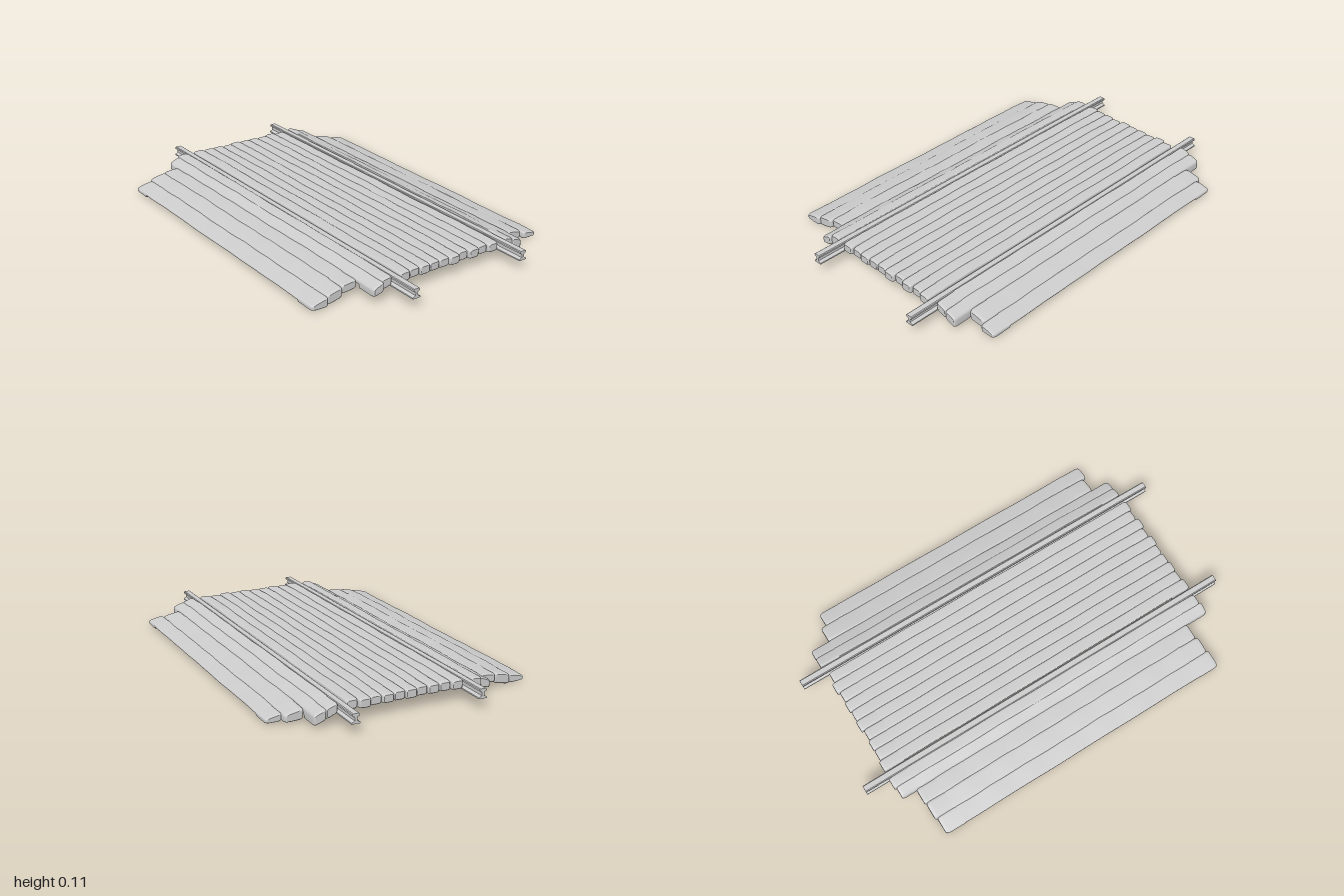
import * as THREE from 'three';

const material = new THREE.MeshStandardMaterial({ color: 0xcccccc });

// Seeded random numbers for the worn timber
let seed = 7;
const rand = () => {
  seed = (seed * 16807) % 2147483647;
  return seed / 2147483647;
};

// Worn plank: a rounded four-sided section lofted along x, with softened ends.
// The section runs from z0 to z1, with bottom and top heights given at each side.
// Between the two end blocks the underside is hollowed to half the thickness.
function plank(name, x0, x1, z0, z1, b0, t0, b1, t1) {
  const sides = 24, block = 0.1, inner = 36;
  const ends = [0, 0.002, 0.006, 0.012, 0.02, 0.06, block];
  const length = x1 - x0;
  const xs = ends.map((d) => x0 + d);
  for (let i = 0; i <= inner; i++) xs.push(x0 + block + 0.004 + (length - 2 * block - 0.008) * (i / inner));
  xs.push(...ends.map((d) => x1 - d).reverse());

  const pos = [], index = [];
  const phase = [rand() * 6, rand() * 6, rand() * 6];
  const soft = (c) => Math.sign(c) * Math.pow(Math.abs(c), 0.4);
  xs.forEach((x) => {
    const inset = Math.min(x - x0, x1 - x);
    const end = THREE.MathUtils.clamp(inset / 0.02, 0, 1);
    const k = 0.75 + 0.25 * Math.sqrt(1 - (1 - end) ** 2);
    const hollow = inset > block + 0.002 ? 0.5 : 0;
    const wave = 0.0012 * Math.sin(x * 9 + phase[0]) + 0.001 * Math.sin(x * 31 + phase[1]);
    const shift = 0.0008 * Math.sin(x * 14 + phase[2]);
    for (let j = 0; j < sides; j++) {
      const a = (j / sides) * Math.PI * 2;
      const p = 0.5 + 0.5 * k * soft(Math.cos(a));
      const q = 0.5 + 0.5 * k * soft(Math.sin(a));
      const top = t0 + (t1 - t0) * p + wave;
      const bottom = THREE.MathUtils.lerp(b0 + (b1 - b0) * p, top, hollow);
      pos.push(x, bottom + (top - bottom) * q, z0 + (z1 - z0) * p + shift);
    }
  });
  const last = xs.length - 1;
  for (let i = 0; i < last; i++) {
    for (let j = 0; j < sides; j++) {
      const a = i * sides + j, b = i * sides + ((j + 1) % sides);
      index.push(a, a + sides, b, b, a + sides, b + sides);
    }
  }
  // end caps with their own vertices
  for (const i of [0, last]) {
    const base = pos.length / 3;
    const mid = [0, 0, 0];
    for (let j = 0; j < sides; j++) {
      const o = (i * sides + j) * 3;
      const v = [pos[o], pos[o + 1], pos[o + 2]];
      pos.push(...v);
      v.forEach((c, n) => (mid[n] += c / sides));
    }
    pos.push(...mid);
    for (let j = 0; j < sides; j++) {
      const a = base + j, b = base + ((j + 1) % sides);
      index.push(base + sides, ...(i === 0 ? [a, b] : [b, a]));
    }
  }
  const geometry = new THREE.BufferGeometry();
  geometry.setAttribute('position', new THREE.Float32BufferAttribute(pos, 3));
  geometry.setIndex(index);
  geometry.computeVertexNormals();
  const mesh = new THREE.Mesh(geometry, material);
  mesh.name = name;
  return mesh;
}

// Rail: I-shaped section extruded along x
function rail(name, z, y) {
  const half = [[0.02, 0], [0.02, 0.006], [0.006, 0.014], [0.006, 0.03], [0.017, 0.035], [0.017, 0.043], [0.013, 0.046]];
  const outline = [...half, ...half.map(([w, h]) => [-w, h]).reverse()];
  const shape = new THREE.Shape(outline.map(([w, h]) => new THREE.Vector2(w, h)));
  const geometry = new THREE.ExtrudeGeometry(shape, { depth: 2, bevelEnabled: false });
  geometry.rotateY(Math.PI / 2);
  geometry.translate(-1, y, z);
  const mesh = new THREE.Mesh(geometry, material);
  mesh.name = name;
  return mesh;
}

export function createModel() {
  const group = new THREE.Group();
  group.name = 'plankCrossing';

  // Ramp planks: x0, x1, z0, z1, then bottom and top at z0 and at z1
  const backRamp = [
    [-0.75, 0.79, -0.64, -0.562, 0.007, 0.027, 0.007, 0.045],
    [-0.78, 0.77, -0.566, -0.475, 0.007, 0.044, 0.01, 0.064],
    [-0.88, 0.86, -0.478, -0.418, 0.012, 0.062, 0.034, 0.084],
    [-0.88, 0.86, -0.424, -0.366, 0.033, 0.083, 0.056, 0.102],
  ];
  const frontRamp = [
    [-0.88, 0.86, 0.283, 0.34, 0.063, 0.107, 0.05, 0.102],
    [-0.87, 0.87, 0.333, 0.392, 0.048, 0.1, 0.036, 0.076],
    [-0.795, 0.75, 0.387, 0.472, 0.032, 0.076, 0.025, 0.069],
    [-0.79, 0.76, 0.467, 0.556, 0.018, 0.07, 0, 0.053],
    [-0.78, 0.77, 0.548, 0.638, 0, 0.051, 0.007, 0.029],
  ];
  backRamp.forEach((p, i) => group.add(plank(`backRampPlank${i + 1}`, ...p)));
  frontRamp.forEach((p, i) => group.add(plank(`frontRampPlank${i + 1}`, ...p)));

  // Deck planks between the rails
  const count = 10, start = -0.322, pitch = 0.0565;
  for (let i = 0; i < count; i++) {
    const z = start + i * pitch;
    const rise = 0.008 * (i / (count - 1));
    const bottom = 0.052 + rise, top = 0.097 + rise + 0.002 * (rand() - 0.5);
    const x0 = -0.87 + 0.02 * (rand() - 0.5), x1 = 0.86 + 0.018 * (rand() - 0.5);
    group.add(plank(`deckPlank${i + 1}`, x0, x1, z, z + pitch + 0.002, bottom, top, bottom, top));
  }

  // The two rails
  group.add(rail('backRail', -0.347, 0.049), rail('frontRail', 0.266, 0.054));
  return group;
}
